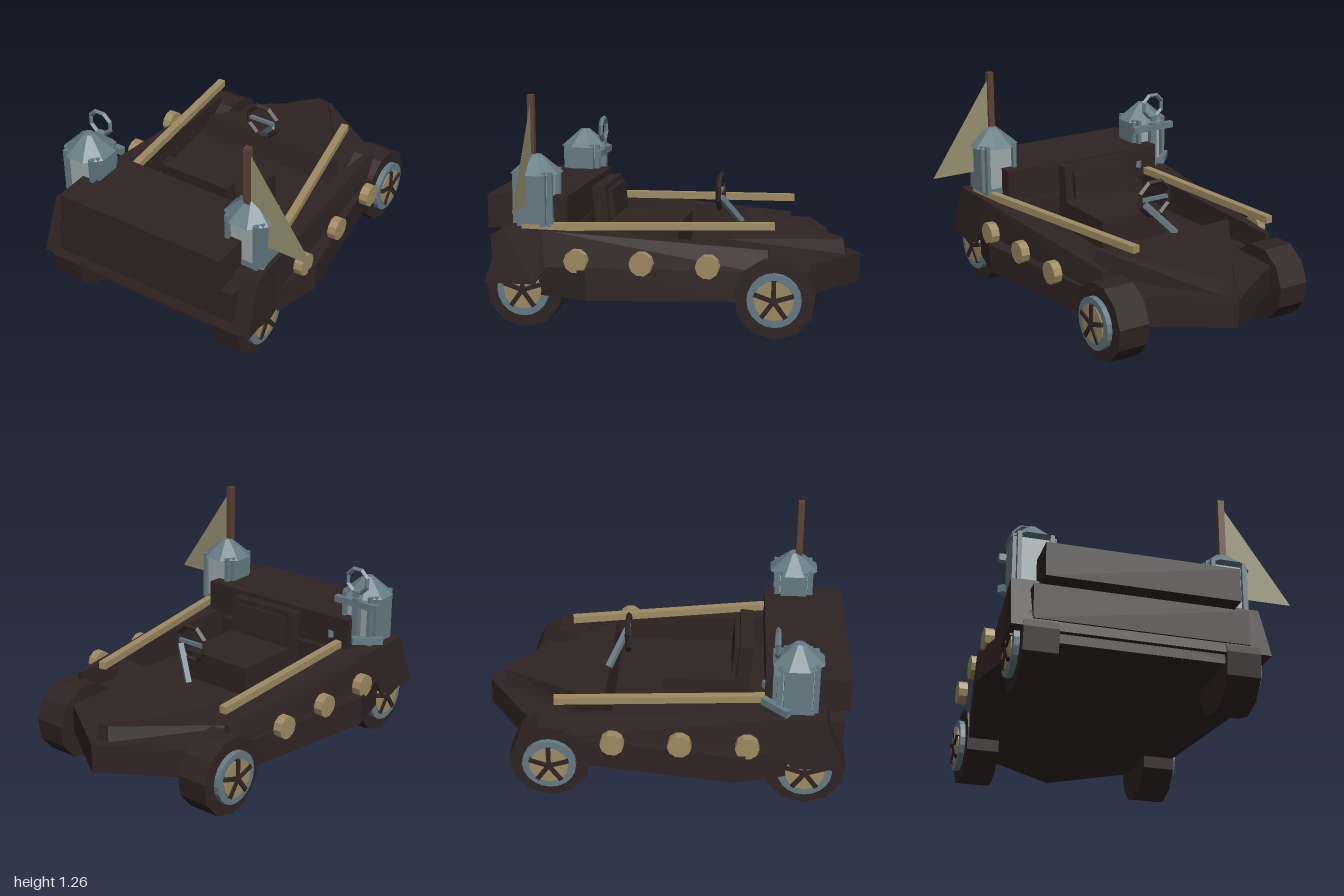
import * as THREE from 'three';

const mat = (name, color, side = THREE.FrontSide) => {
  const m = new THREE.MeshStandardMaterial({ color, flatShading: true, side });
  m.name = name;
  return m;
};

export function createModel() {
  const dark = mat('darkWood', 0x2f2423);
  const gold = mat('paleWood', 0x9f8b62);
  const steel = mat('blueSteel', 0x667b84);
  const glass = mat('lanternGlass', 0xa0aaad);
  const brown = mat('poleWood', 0x5e4134);
  const cloth = mat('pennantCloth', 0x968f70, THREE.DoubleSide);

  const root = new THREE.Group();
  root.name = 'buggy';
  const car = new THREE.Group();
  car.name = 'car';
  car.position.x = -0.09;
  root.add(car);

  const add = (parent, name, geo, material, x = 0, y = 0, z = 0) => {
    const m = new THREE.Mesh(geo, material);
    m.name = name;
    m.position.set(x, y, z);
    parent.add(m);
    return m;
  };
  const box = (parent, name, material, w, h, d, x, y, z) =>
    add(parent, name, new THREE.BoxGeometry(w, h, d), material, x, y, z);

  // Closed solid through matching convex loops, wound so its faces point outwards
  const loft = (loops) => {
    const tris = [], n = loops[0].length, last = loops.length - 1;
    for (let l = 0; l < last; l++) {
      for (let i = 0; i < n; i++) {
        const j = (i + 1) % n, a = loops[l], b = loops[l + 1];
        tris.push([a[i], a[j], b[j]], [a[i], b[j], b[i]]);
      }
    }
    for (let i = 1; i < n - 1; i++) {
      tris.push([loops[0][0], loops[0][i + 1], loops[0][i]]);
      tris.push([loops[last][0], loops[last][i], loops[last][i + 1]]);
    }
    let volume = 0;
    for (const t of tris) {
      const [a, b, c] = t.map((p) => new THREE.Vector3(...p));
      volume += a.dot(b.cross(c));
    }
    if (volume < 0) tris.forEach((t) => t.reverse());
    const geo = new THREE.BufferGeometry();
    geo.setAttribute('position', new THREE.Float32BufferAttribute(tris.flat(2), 3));
    geo.computeVertexNormals();
    return geo;
  };

  // Square bar between two points
  const bar = (parent, name, material, a, b, w, h = w) => {
    const from = new THREE.Vector3(...a), to = new THREE.Vector3(...b);
    const m = box(parent, name, material, w, h, from.distanceTo(to), 0, 0, 0);
    m.position.copy(from).add(to).multiplyScalar(0.5);
    m.lookAt(to);
    return m;
  };

  // Boat-shaped lower hull with pointed nose
  const half = [[0.43, -0.71], [0.58, -0.61], [0.6, -0.4], [0.72, 0.4], [0.64, 0.68], [0.57, 0.95]];
  const outline = [[0, -1], ...half, ...half.map(([x, z]) => [-x, z]).reverse()];
  add(car, 'lowerHull', loft([0.19, 0.35].map((y) => outline.map(([x, z]) => [x, y, z]))), dark);

  // Wedge foredeck
  add(car, 'foredeck', loft([
    [[-0.045, 0.35, -0.92], [0.045, 0.35, -0.92], [0.47, 0.35, -0.28], [-0.47, 0.35, -0.28]],
    [[-0.03, 0.43, -0.905], [0.03, 0.43, -0.905], [0.44, 0.495, -0.31], [-0.44, 0.495, -0.31]],
  ]), dark);

  // Rear body, tail plate and trunk
  add(car, 'rearBody', loft([-0.6, 0.6].map((x) =>
    [[x, 0.24, 0.6], [x, 0.24, 0.98], [x, 0.48, 0.895], [x, 0.48, 0.6]])), dark);
  box(car, 'tailPlate', dark, 1.12, 0.19, 0.3, 0, 0.395, 0.82);
  box(car, 'trunk', dark, 1.02, 0.185, 0.45, 0, 0.6175, 0.775);

  // Seat
  box(car, 'seatBase', dark, 0.43, 0.165, 0.48, 0, 0.4325, 0.235);
  const back = new THREE.Group();
  back.name = 'seatBack';
  back.position.set(0, 0.51, 0.43);
  back.rotation.x = 0.1;
  car.add(back);
  box(back, 'backrest', dark, 0.43, 0.22, 0.075, 0, 0.1, 0);
  box(back, 'backCushion', dark, 0.33, 0.16, 0.03, 0, 0.1, -0.05);

  // Steering wheel and column
  add(car, 'steeringWheel', new THREE.TorusGeometry(0.1, 0.015, 4, 8), dark, 0, 0.675, -0.208).rotation.z = Math.PI / 8;
  bar(car, 'steeringColumn', steel, [0, 0.47, -0.33], [0, 0.675, -0.208], 0.03);
  box(car, 'steeringSpoke', steel, 0.18, 0.022, 0.015, 0, 0.675, -0.208);

  const disc = (r, w, sides) => {
    const g = new THREE.CylinderGeometry(r, r, w, sides);
    g.rotateZ(Math.PI / 2);
    return g;
  };

  // Wheel with rim ring, hub disc and five spokes
  const wheel = (s, z) => {
    const g = new THREE.Group();
    g.name = z < 0 ? 'noseWheel' : 'rearWheel';
    g.position.set(s * 0.52, 0.215, z);
    car.add(g);
    const tyre = disc(0.218, 0.18, 11);
    tyre.rotateX(Math.PI / 2);
    // turn until one corner touches the ground
    const p = tyre.attributes.position;
    tyre.rotateX(-Math.PI / 2 - Math.atan2(p.getY(0), p.getZ(0)) + Math.PI / 2 + Math.atan2(p.getY(0), p.getZ(0)));
    const low = () => { let m = 0; for (let i = 0; i < p.count; i++) m = Math.min(m, p.getY(i)); return m; };
    for (let i = 0; i < 22 && low() > -0.2175; i++) tyre.rotateX(Math.PI / 22);
    add(g, 'tyre', tyre, dark);
    add(g, 'rim', disc(0.145, 0.04, 20), steel, s * 0.1);
    add(g, 'hubDisc', disc(0.105, 0.04, 16), gold, s * 0.106);
    for (let i = 0; i < 5; i++) {
      const a = i * Math.PI * 0.4;
      const spoke = box(g, 'spoke', dark, 0.03, 0.11, 0.024, s * 0.12, Math.cos(a) * 0.055, Math.sin(a) * 0.055);
      spoke.rotation.x = a;
    }
  };

  // Lantern with glass core, frame slabs and pointed roof
  const lantern = (s) => {
    const g = new THREE.Group();
    g.name = 'lantern';
    g.position.set(s * 0.52, 0, 0.715);
    car.add(g);
    box(g, 'glass', glass, 0.17, 0.25, 0.17, 0, 0.71, 0);
    box(g, 'base', steel, 0.18, 0.035, 0.18, 0, 0.575, 0);
    for (const k of [-1, 1]) {
      box(g, 'sideSlab', steel, 0.03, 0.28, 0.15, k * 0.1, 0.715, 0);
      for (const q of [-1, 1]) box(g, 'post', steel, 0.022, 0.28, 0.03, k * 0.085, 0.715, q * 0.095);
    }
    add(g, 'roof', new THREE.CylinderGeometry(0.028, 0.145, 0.1, 8), steel, 0, 0.89, 0).rotation.y = Math.PI / 8;
  };

  for (const s of [-1, 1]) {
    // Side fender, widening to the rear and dropping over the back wheel
    const section = (inner, outTop, outLow, low, top, zLow, zTop) =>
      [[s * inner, low, zLow], [s * outLow, low, zLow], [s * outTop, top, zTop], [s * inner, top, zTop]];
    add(car, 'fender', loft([
      section(0.52, 0.545, 0.57, 0.34, 0.465, -0.55, -0.55),
      section(0.45, 0.635, 0.655, 0.34, 0.54, 0.64, 0.6),
      section(0.43, 0.64, 0.66, 0.25, 0.543, 0.7, 0.66),
      section(0.43, 0.655, 0.67, 0.25, 0.555, 0.98, 0.87),
    ]), dark);
    wheel(s, -0.595);
    wheel(s, 0.77);
    lantern(s);
    bar(car, 'sideRail', gold, [s * 0.435, 0.556, -0.57], [s * 0.52, 0.556, 0.79], 0.042, 0.04);
    for (const z of [-0.25, 0.105, 0.46]) add(car, 'sideDrum', disc(0.064, 0.05, 10), gold, s * 0.68, 0.395, z);
  }

  // Anchor leaning on the right lantern
  const anchor = new THREE.Group();
  anchor.name = 'anchor';
  anchor.position.set(-0.525, 0, 0.603);
  car.add(anchor);
  add(anchor, 'anchorRing', new THREE.TorusGeometry(0.07, 0.014, 4, 8), steel, 0, 0.94, 0).rotation.z = Math.PI / 8;
  box(anchor, 'anchorShank', steel, 0.04, 0.32, 0.035, 0, 0.72, 0);
  box(anchor, 'anchorStock', steel, 0.285, 0.038, 0.035, 0, 0.805, 0);
  for (const s of [-1, 1]) bar(anchor, 'anchorArm', steel, [0, 0.56, 0], [s * 0.16, 0.64, 0], 0.035, 0.04);

  // Pole and pennant
  box(car, 'pole', brown, 0.036, 0.42, 0.036, 0.515, 1.05, 0.742);
  const pennant = new THREE.Shape([[0.53, 1.22], [0.53, 0.68], [0.895, 0.68]].map((p) => new THREE.Vector2(...p)));
  add(car, 'pennant', new THREE.ShapeGeometry(pennant), cloth, 0, 0, 0.742);

  return root;
}
